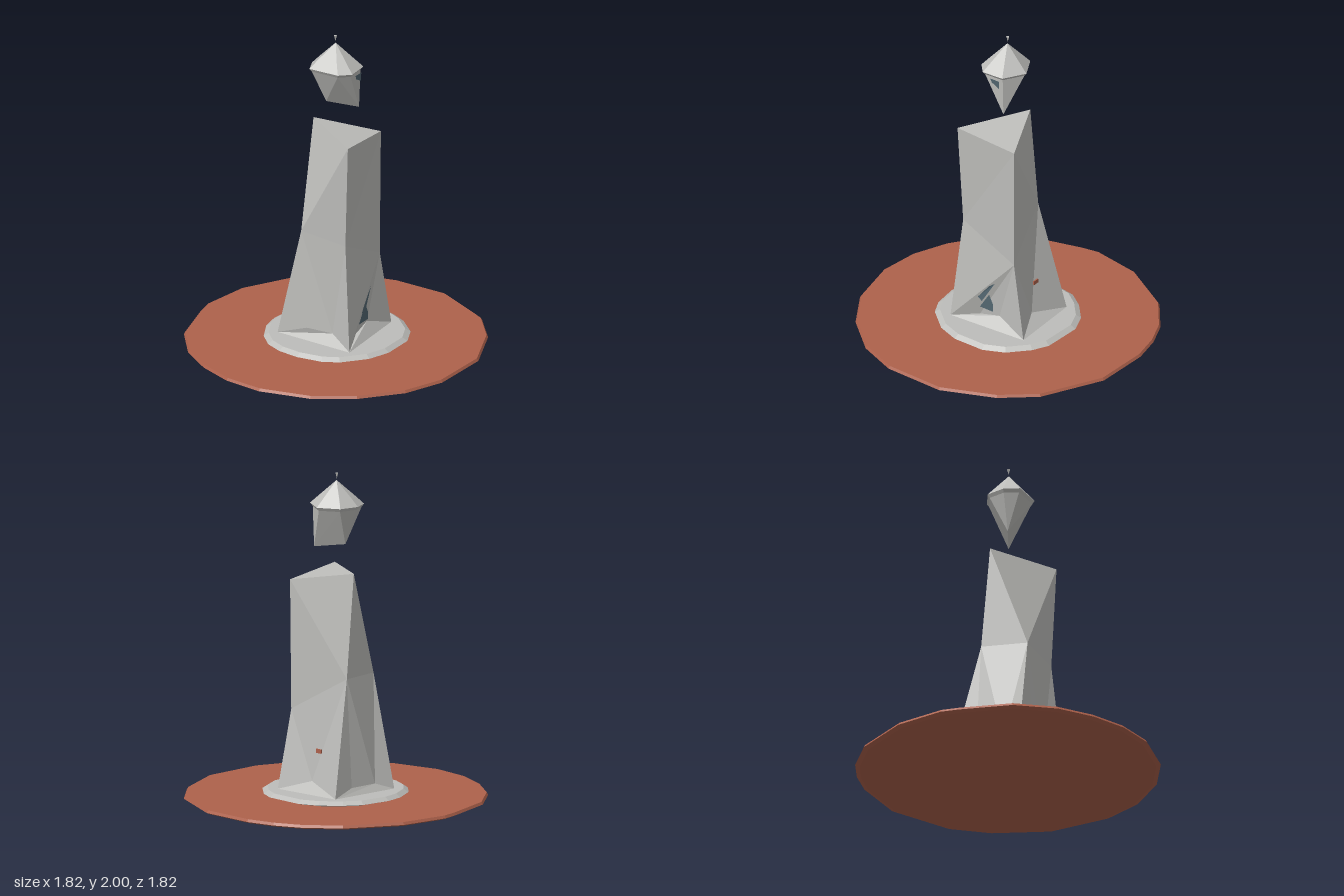
import * as THREE from 'three';
import { ConvexGeometry } from 'three/addons/geometries/ConvexGeometry.js';

const mat = (name, color, side = THREE.FrontSide) => {
  const m = new THREE.MeshStandardMaterial({ color, side, flatShading: true });
  m.name = name;
  return m;
};

// faceted geometry from a list of triangles of [x, y, z] corners
function facets(tris) {
  const g = new THREE.BufferGeometry();
  g.setAttribute('position', new THREE.Float32BufferAttribute(tris.flat(2), 3));
  g.computeVertexNormals();
  return g;
}

// closed slab: an [x, z] outline repeated at [scale, y] layers
function slab(outline, layers) {
  const tris = [];
  const n = outline.length;
  const at = (i, [s, y]) => [outline[i % n][0] * s, y, outline[i % n][1] * s];
  const low = layers[0];
  const top = layers[layers.length - 1];
  for (let i = 0; i < n; i++) {
    for (let k = 0; k < layers.length - 1; k++) {
      const a = at(i, layers[k]), b = at(i + 1, layers[k]);
      const c = at(i, layers[k + 1]), d = at(i + 1, layers[k + 1]);
      tris.push([b, a, c], [b, c, d]);
    }
    tris.push([[0, top[1], 0], at(i + 1, top), at(i, top)]);
    tris.push([[0, low[1], 0], at(i, low), at(i + 1, low)]);
  }
  return facets(tris);
}

export function createModel() {
  const root = new THREE.Group();
  const stone = mat('pale stone', 0xbdbdba, THREE.DoubleSide);
  const clay = mat('terracotta', 0xad614b, THREE.DoubleSide);
  const slate = mat('slate glass', 0x526670, THREE.DoubleSide);
  const add = (name, geometry, material) => {
    const mesh = new THREE.Mesh(geometry, material);
    mesh.name = name;
    root.add(mesh);
    return mesh;
  };

  // ground disc
  add('groundDisc', slab([
    [-0.13, -0.91], [0.22, -0.9], [0.6, -0.71], [0.77, -0.51], [0.91, -0.18],
    [0.9, 0.21], [0.8, 0.46], [0.6, 0.69], [0.36, 0.84], [0.04, 0.91],
    [-0.21, 0.88], [-0.43, 0.79], [-0.63, 0.65], [-0.8, 0.43], [-0.89, 0.11],
    [-0.91, 0], [-0.86, -0.31], [-0.67, -0.64], [-0.47, -0.8], [-0.31, -0.87],
  ], [[0.97, 0], [1, 0.012], [0.99, 0.028]]), clay);

  // bevelled plinth
  add('plinth', slab([
    [-0.1, -0.44], [0.15, -0.43], [0.25, -0.38], [0.37, -0.27], [0.43, -0.14],
    [0.43, 0.07], [0.38, 0.21], [0.26, 0.35], [0.16, 0.4], [0, 0.42],
    [-0.14, 0.4], [-0.25, 0.35], [-0.34, 0.26], [-0.41, 0.12], [-0.43, 0],
    [-0.4, -0.19], [-0.33, -0.29], [-0.22, -0.39],
  ], [[0.85, 0.027], [1, 0.045], [0.93, 0.066]]), stone);

  // tower corners: three at the top, four mid-height, four at the base
  const topL = [-0.175, 1.41, -0.04], topF = [0.225, 1.385, 0.205], topB = [0.2, 1.345, -0.205];
  const midFL = [-0.12, 0.76, 0.185], midBL = [-0.175, 0.77, -0.1];
  const midFR = [0.195, 0.73, 0.185], midBR = [0.195, 0.55, -0.2];
  const FL = [-0.275, 0.066, 0.205], FR = [0.255, 0.066, 0.235];
  const BL = [-0.24, 0.066, -0.265], BR = [0.22, 0.066, -0.29];
  // inset points along the foot of each wall
  const f1 = [-0.07, 0.14, 0.2], f2 = [0.1, 0.135, 0.18];
  const r1 = [0.19, 0.11, 0.06], r2 = [0.18, 0.14, -0.08];
  const b1 = [0.02, 0.13, -0.2];
  const l1 = [-0.235, 0.11, 0.08], l2 = [-0.225, 0.11, -0.11];
  add('tower', facets([
    [topL, topF, topB],
    // front wall
    [topL, midFL, topF], [midFL, midFR, topF], [midFL, FL, f1], [midFL, f1, f2],
    [midFL, f2, midFR], [midFR, f2, FR], [FL, f2, f1], [FL, FR, f2],
    // right wall with its recess
    [topF, midFR, topB], [midFR, midBR, topB], [midFR, FR, midBR],
    [FR, r1, midBR], [r1, r2, midBR], [r2, BR, midBR], [FR, r2, r1], [FR, BR, r2],
    // back wall
    [topB, midBL, topL], [topB, midBR, midBL], [midBR, b1, midBL],
    [midBR, BR, b1], [midBL, b1, BL], [BR, BL, b1],
    // left wall
    [topL, midBL, midFL], [midBL, l1, midFL], [midBL, l2, l1],
    [midFL, l1, FL], [midBL, BL, l2], [FL, l1, BL], [BL, l1, l2],
  ]), stone);

  // window fragments in the right-hand recess
  add('towerWindow', facets([
    [[0.226, 0.25, 0.05], [0.226, 0.23, 0.02], [0.215, 0.38, -0.07]],
    [[0.226, 0.25, 0.05], [0.215, 0.38, -0.07], [0.222, 0.35, -0.03]],
    [[0.206, 0.17, 0.05], [0.206, 0.17, -0.05], [0.206, 0.22, -0.05]],
    [[0.206, 0.17, 0.05], [0.206, 0.22, -0.05], [0.206, 0.28, -0.02]],
  ]), slate);

  // small door fragment on the back wall
  const door = add('doorFragment', new THREE.BoxGeometry(0.04, 0.025, 0.008), clay);
  door.position.set(-0.03, 0.32, -0.192);

  // lantern: overhanging roof and a body tapering to a short keel
  const ring = [
    [-0.11, -0.09], [0.02, -0.16], [0.155, -0.08], [0.165, 0.06],
    [0.1, 0.12], [-0.1, 0.125], [-0.14, 0.03],
  ];
  const loop = (s, y) => ring.map(([x, z]) => new THREE.Vector3(x * s, y, z * s));
  add('lanternRoof', new ConvexGeometry([
    ...loop(1, 1.805), ...loop(0.9, 1.785), ...loop(0.7, 1.85),
    new THREE.Vector3(0.005, 1.955, -0.005),
  ]), stone);
  add('lanternBody', new ConvexGeometry([
    ...loop(0.9, 1.785),
    new THREE.Vector3(-0.05, 1.565, 0.015), new THREE.Vector3(0.13, 1.538, -0.07),
  ]), stone);

  // glass fragment on the lantern's right side
  add('lanternGlass', facets([
    [[0.156, 1.775, 0.01], [0.156, 1.775, -0.055], [0.152, 1.72, -0.055]],
    [[0.156, 1.775, 0.01], [0.152, 1.72, -0.055], [0.154, 1.75, 0]],
  ]), slate);

  // finial above the roof
  const finial = add('finial', new THREE.ConeGeometry(0.011, 0.035, 4), stone);
  finial.rotation.x = Math.PI;
  finial.position.set(0.003, 1.9825, -0.005);

  return root;
}
